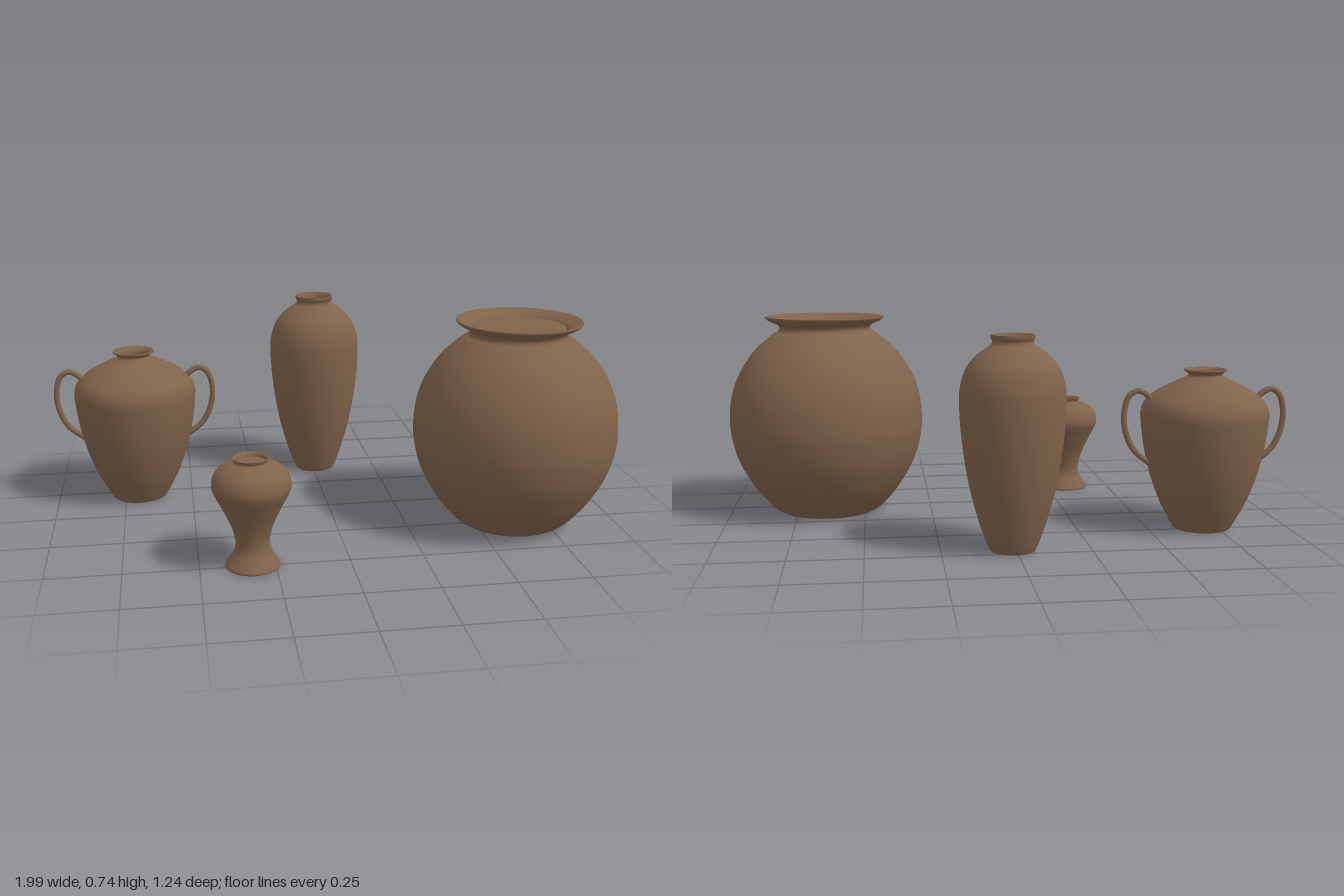
import * as THREE from 'three';

const clay = new THREE.MeshStandardMaterial({ color: 0x80634a, side: THREE.DoubleSide });
clay.name = 'brownClay';

const SIDES = 56;
const vectors = (pairs) => pairs.map(([r, y]) => new THREE.Vector2(r, y));

// Adds one named mesh to a group
function add(group, name, geometry, y = 0) {
  const mesh = new THREE.Mesh(geometry, clay);
  mesh.name = name;
  mesh.position.y = y;
  group.add(mesh);
  return mesh;
}

// A turned pot: smooth body, flat base, lip and the floor seen in the mouth
function makePot(name, x, z, { body, lip, floor }) {
  const pot = new THREE.Group();
  pot.name = name;
  pot.position.set(x, 0, z);

  const bodyCurve = new THREE.SplineCurve(vectors(body));
  add(pot, 'body', new THREE.LatheGeometry(bodyCurve.getPoints(40), SIDES));
  const base = new THREE.CircleGeometry(body[0][0], SIDES);
  add(pot, 'base', base.rotateX(Math.PI / 2));

  // The lip is outer flare, flat top edge and inner wall, each kept crisp
  const [outer, inner] = lip;
  add(pot, 'outerLip', new THREE.LatheGeometry(new THREE.SplineCurve(vectors(outer)).getPoints(10), SIDES));
  add(pot, 'lipEdge', new THREE.LatheGeometry(vectors([outer.at(-1), inner[0]]), SIDES));
  add(pot, 'innerLip', new THREE.LatheGeometry(new THREE.SplineCurve(vectors(inner)).getPoints(10), SIDES));

  const disc = new THREE.CircleGeometry(floor[0], SIDES).rotateX(-Math.PI / 2);
  add(pot, 'mouthFloor', disc, floor[1]);
  return pot;
}

export function createModel() {
  const model = new THREE.Group();
  model.name = 'potteryGroup';

  // Large round storage jar with a wide flaring rim
  model.add(makePot('roundJar', 0.638, 0.22, {
    body: [[0.18, 0], [0.215, 0.025], [0.277, 0.1], [0.331, 0.2], [0.355, 0.29], [0.359, 0.36],
      [0.35, 0.44], [0.322, 0.52], [0.27, 0.6], [0.205, 0.66], [0.175, 0.68]],
    lip: [
      [[0.175, 0.68], [0.168, 0.69], [0.175, 0.705], [0.205, 0.718], [0.218, 0.729], [0.218, 0.735]],
      [[0.212, 0.735], [0.185, 0.722], [0.168, 0.71], [0.16, 0.69]],
    ],
    floor: [0.162, 0.712],
  }));

  // Two-handled jar
  const handledJar = makePot('handledJar', -0.698, -0.224, {
    body: [[0.1, 0], [0.118, 0.03], [0.154, 0.1], [0.19, 0.2], [0.212, 0.3], [0.223, 0.39],
      [0.222, 0.425], [0.208, 0.455], [0.175, 0.485], [0.125, 0.513], [0.08, 0.535], [0.062, 0.543]],
    lip: [
      [[0.062, 0.543], [0.058, 0.55], [0.066, 0.558], [0.075, 0.563], [0.075, 0.568]],
      [[0.068, 0.568], [0.056, 0.556], [0.052, 0.54], [0.056, 0.51]],
    ],
    floor: [0.06, 0.51],
  });
  for (const side of [-1, 1]) {
    const path = new THREE.CatmullRomCurve3([
      [0.185, 0.455], [0.208, 0.48], [0.24, 0.495], [0.27, 0.478], [0.288, 0.42],
      [0.282, 0.35], [0.252, 0.285], [0.195, 0.236],
    ].map(([x, y]) => new THREE.Vector3(side * x, y, 0)));
    add(handledJar, side < 0 ? 'rightHandle' : 'leftHandle', new THREE.TubeGeometry(path, 40, 0.0105, 10));
  }
  model.add(handledJar);

  // Tall slender vase
  model.add(makePot('tallVase', 0.011, -0.445, {
    body: [[0.075, 0], [0.087, 0.025], [0.113, 0.1], [0.14, 0.2], [0.16, 0.31], [0.172, 0.42],
      [0.175, 0.51], [0.169, 0.56], [0.15, 0.61], [0.115, 0.65], [0.08, 0.675], [0.07, 0.684]],
    lip: [
      [[0.07, 0.684], [0.067, 0.693], [0.072, 0.703], [0.073, 0.714]],
      [[0.067, 0.714], [0.059, 0.7], [0.056, 0.68], [0.06, 0.65]],
    ],
    floor: [0.064, 0.65],
  }));

  // Small footed vase with a narrow waist
  model.add(makePot('smallVase', -0.324, 0.489, {
    body: [[0.09, 0], [0.09, 0.008], [0.075, 0.03], [0.059, 0.058], [0.056, 0.09], [0.07, 0.145],
      [0.102, 0.215], [0.125, 0.26], [0.13, 0.287], [0.119, 0.322], [0.09, 0.347], [0.06, 0.358]],
    lip: [
      [[0.06, 0.358], [0.055, 0.362], [0.057, 0.368], [0.06, 0.375]],
      [[0.056, 0.375], [0.05, 0.368], [0.047, 0.355]],
    ],
    floor: [0.05, 0.36],
  }));

  return model;
}
